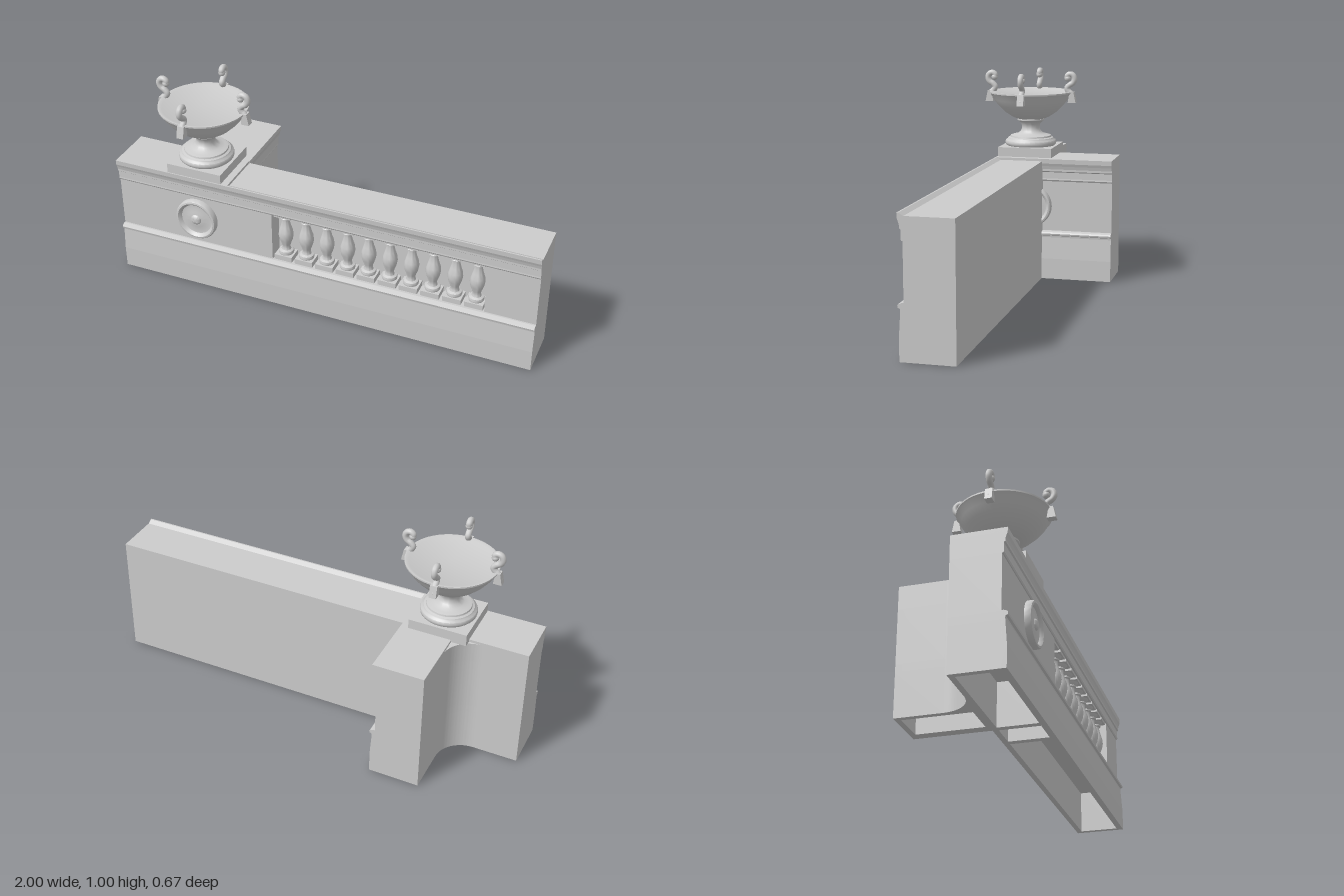
import * as THREE from 'three';
import { toCreasedNormals } from 'three/addons/utils/BufferGeometryUtils.js';

const material = new THREE.MeshStandardMaterial({ color: 0xcccccc });
const vectors = (points) => points.map(([x, y]) => new THREE.Vector2(x, y));

function add(parent, name, geometry, x = 0, y = 0, z = 0) {
  const mesh = new THREE.Mesh(geometry, material);
  mesh.name = name;
  mesh.position.set(x, y, z);
  parent.add(mesh);
  return mesh;
}

function box(parent, name, x0, x1, y0, y1, z0, z1) {
  return add(parent, name, new THREE.BoxGeometry(x1 - x0, y1 - y0, z1 - z0),
    (x0 + x1) / 2, (y0 + y1) / 2, (z0 + z1) / 2);
}

const lathe = (points, sides = 32) =>
  toCreasedNormals(new THREE.LatheGeometry(vectors(points), sides), 0.7);

const BACK = 0.005, FACE = 0.215, WING_FACE = -0.455;
const NICHE = { x0: -0.23, x1: 0.77, y0: 0.235, y1: 0.483, z: 0.14 };

// One horizontal layer of the wall and rear wing, seen in plan
function layer(parent, name, y0, y1, { niche = false, cells = [] } = {}) {
  const s = new THREE.Shape();
  const r = 0.13;
  s.moveTo(-1, -FACE);
  if (niche) {
    s.lineTo(NICHE.x0, -FACE);
    s.lineTo(NICHE.x0, -NICHE.z);
    s.lineTo(NICHE.x1, -NICHE.z);
    s.lineTo(NICHE.x1, -FACE);
  }
  s.lineTo(1, -FACE);
  s.lineTo(1, -BACK);
  s.lineTo(WING_FACE, -BACK);
  s.lineTo(WING_FACE, 0.335);
  s.lineTo(-0.665, 0.335);
  // Concave sweep between the wing and the back of the pier
  s.absarc(-0.665 - r, r - BACK, r, 0, -Math.PI / 2, true);
  s.lineTo(-1, -BACK);
  for (const [x0, x1, z0, z1] of cells) {
    s.holes.push(new THREE.Path(vectors([[x0, -z0], [x1, -z0], [x1, -z1], [x0, -z1]])));
  }
  const g = new THREE.ExtrudeGeometry(s, { depth: y1 - y0, bevelEnabled: false, curveSegments: 20 });
  g.rotateX(-Math.PI / 2);
  add(parent, name, toCreasedNormals(g, 0.5), 0, y0, 0);
}

// Moulding profiles as [projection from the face, height]
const baseProfile = [[-0.005, 0], [0.021, 0], [0.021, 0.1], [0.014, 0.205], [0.015, 0.213], [0.024, 0.217],
  [0.026, 0.225], [0.022, 0.232], [0.008, 0.237], [-0.005, 0.237]];
const corniceProfile = [[-0.005, 0.48], [0.004, 0.48], [0.008, 0.487], [0.007, 0.494], [0.007, 0.525],
  [0.013, 0.53], [0.013, 0.54], [0.017, 0.555], [0.022, 0.568], [0.023, 0.59], [0.016, 0.59], [-0.005, 0.578]];

function moulding(profile, length) {
  const shape = new THREE.Shape(vectors(profile));
  return new THREE.ExtrudeGeometry(shape, { depth: length, bevelEnabled: false });
}

function rosette(parent, name) {
  return add(parent, name, lathe([[0.1, -0.005], [0.1, 0.022], [0.096, 0.028], [0.088, 0.03], [0.081, 0.025],
    [0.075, 0.015], [0.06, 0.014], [0.04, 0.018], [0.025, 0.02], [0.022, 0.026], [0.012, 0.031], [0, 0.032]], 40));
}

function baluster(parent, x) {
  const g = new THREE.Group();
  g.name = 'baluster';
  g.position.set(x, 0, 0.172);
  parent.add(g);
  box(g, 'balusterPlinth', -0.042, 0.042, 0.233, 0.262, -0.04, 0.04);
  box(g, 'balusterCap', -0.04, 0.04, 0.468, 0.485, -0.04, 0.04);
  const profile = [[0.034, 0.262], [0.036, 0.27], [0.033, 0.278], [0.022, 0.283], [0.018, 0.294], [0.021, 0.31],
    [0.03, 0.335], [0.034, 0.358], [0.032, 0.38], [0.024, 0.405], [0.018, 0.43], [0.018, 0.442],
    [0.025, 0.446], [0.025, 0.452], [0.021, 0.455], [0.03, 0.462], [0.036, 0.47]];
  add(g, 'balusterShaft', lathe(profile, 20));
}

function urn(parent) {
  const g = new THREE.Group();
  g.name = 'urn';
  g.position.set(-0.6, 0, 0.1);
  parent.add(g);
  box(g, 'urnPlinth', -0.133, 0.133, 0.58, 0.635, -0.133, 0.133);
  add(g, 'urnFoot', lathe([[0.117, 0.633], [0.124, 0.64], [0.126, 0.65], [0.123, 0.66], [0.114, 0.666],
    [0.111, 0.672], [0.101, 0.676], [0.099, 0.683], [0.085, 0.687], [0.065, 0.692], [0.05, 0.703],
    [0.043, 0.72], [0.046, 0.738], [0.058, 0.752], [0.066, 0.758], [0.066, 0.765], [0.05, 0.77]]));
  add(g, 'urnBowl', lathe([[0, 0.76], [0.055, 0.762], [0.09, 0.775], [0.125, 0.798], [0.158, 0.83],
    [0.182, 0.86], [0.198, 0.888], [0.203, 0.893], [0.203, 0.9], [0.196, 0.901], [0.185, 0.896], [0, 0.896]], 48));

  // Four scroll handles around the rim
  const path = [[0.208, 0.865], [0.203, 0.89], [0.188, 0.903], [0.181, 0.918], [0.192, 0.932], [0.21, 0.944],
    [0.218, 0.962], [0.212, 0.98], [0.196, 0.987], [0.182, 0.978], [0.184, 0.966]];
  const curve = new THREE.CatmullRomCurve3(path.map(([r, y]) => new THREE.Vector3(r, y, 0)));
  const footShape = new THREE.Shape(vectors([[0.188, 0.847], [0.227, 0.847], [0.216, 0.9], [0.196, 0.9]]));
  for (let i = 0; i < 4; i++) {
    const handle = new THREE.Group();
    handle.name = 'urnHandle';
    handle.rotation.y = i * Math.PI / 2;
    g.add(handle);
    add(handle, 'handleScroll', new THREE.TubeGeometry(curve, 40, 0.014, 10));
    const foot = new THREE.ExtrudeGeometry(footShape, { depth: 0.032, bevelEnabled: false });
    add(handle, 'handleFoot', foot, 0, 0, -0.016);
    for (const k of [0, path.length - 1]) {
      add(handle, 'handleEnd', new THREE.SphereGeometry(0.016, 12, 8), path[k][0], path[k][1], 0);
    }
  }
}

export function createModel() {
  const model = new THREE.Group();
  model.name = 'balustradeWall';

  // Wall body, hollow underneath and recessed behind the balusters
  const wall = new THREE.Group();
  wall.name = 'wall';
  model.add(wall);
  layer(wall, 'wallBase', 0, 0.2, {
    cells: [[-0.27, 0.975, 0.03, 0.208], [-0.43, -0.3, 0.03, 0.208],
      [-0.975, -0.46, 0.03, 0.208], [-0.64, -0.48, -0.31, -0.01]],
  });
  layer(wall, 'wallSill', 0.2, NICHE.y0);
  layer(wall, 'wallMiddle', NICHE.y0, NICHE.y1, { niche: true });
  layer(wall, 'wallTop', NICHE.y1, 0.578);

  // Flat caps over the pier and wing
  box(wall, 'pierCap', -1, -0.435, 0.57, 0.59, BACK, 0.236);
  box(wall, 'wingCap', -0.665, -0.435, 0.57, 0.59, -0.335, BACK + 0.01);

  // Mouldings along the front and along the wing
  for (const [name, profile] of [['baseMoulding', baseProfile], ['cornice', corniceProfile]]) {
    const front = add(wall, name, moulding(profile, 2), 1, 0, FACE);
    front.rotation.y = -Math.PI / 2;
    add(wall, name, moulding(profile, 0.345), WING_FACE, 0, -0.335);
  }

  const frontRosette = rosette(wall, 'frontRosette');
  frontRosette.position.set(-0.603, 0.365, FACE);
  frontRosette.rotation.x = Math.PI / 2;
  const wingRosette = rosette(wall, 'wingRosette');
  wingRosette.position.set(WING_FACE, 0.357, 0.06);
  wingRosette.rotation.z = -Math.PI / 2;

  for (let i = 0; i < 10; i++) baluster(model, -0.18 + i * 0.1);
  urn(model);
  return model;
}
